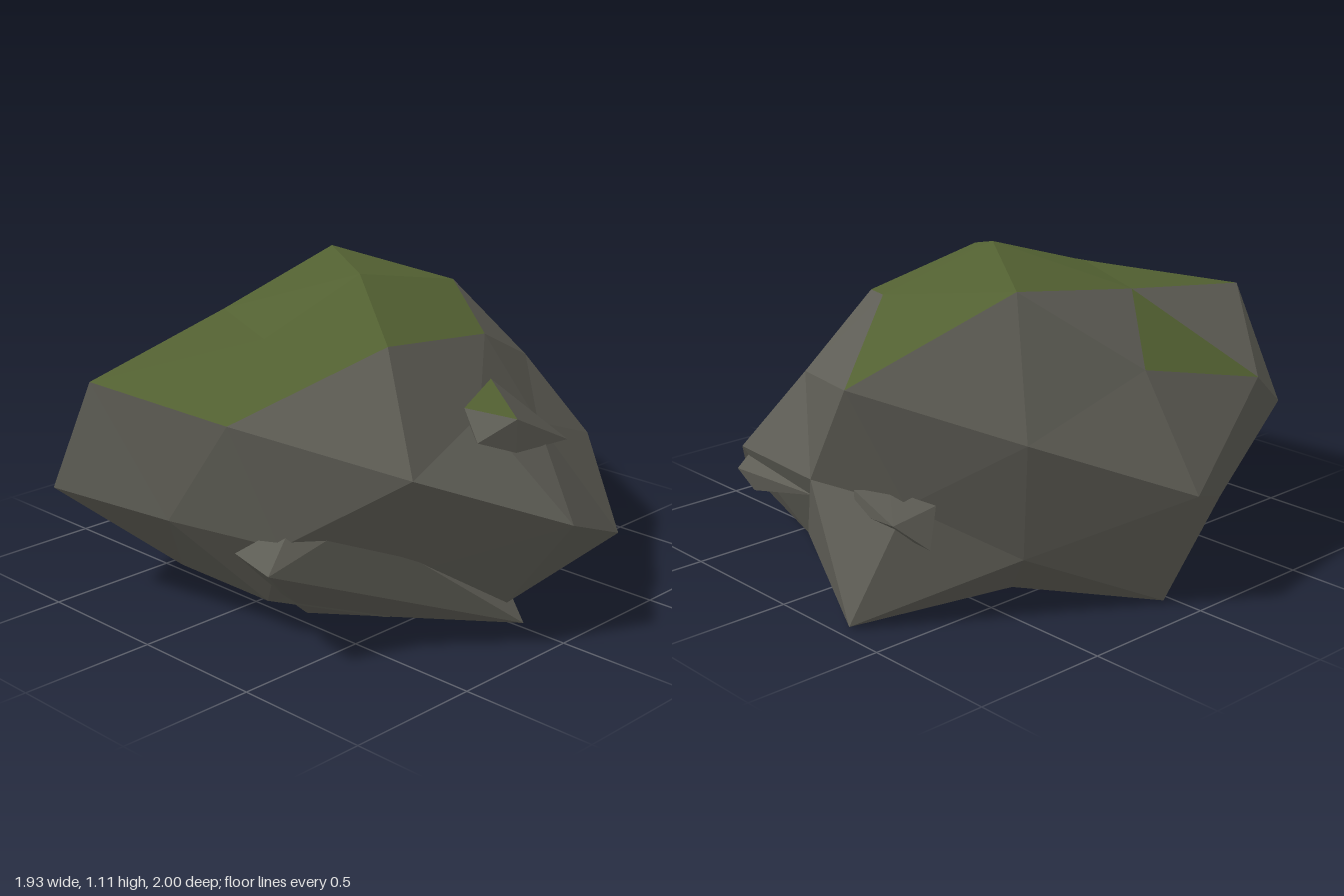
import * as THREE from 'three';
import { ConvexGeometry } from 'three/addons/geometries/ConvexGeometry.js';

const stone = new THREE.MeshStandardMaterial({ color: 0x5f5e56, flatShading: true });
stone.name = 'stone';
const moss = new THREE.MeshStandardMaterial({ color: 0x536132, flatShading: true });
moss.name = 'moss';

// Radii of the boulder corners: keyed by direction (tenths, unsigned),
// then by sign octant: +++ ++- +-+ +-- -++ -+- --+ ---
const RADII = {
  '3,8,5': [0.74, 1.0, 0.85, 0.85, 0.855, 0.82, 0.85, 0.85],
  '5,3,8': [0.66, 0.88, 0.97, 0.8, 0.955, 0.967, 0.72, 0.85],
  '8,5,3': [0.73, 0.99, 0.74, 1.0, 0.985, 1.05, 0.73, 0.73],
  '0,5,9': [0.68, 0.88, 0.85, 1.01],
  '5,9,0': [0.84, 0, 0.85, 0, 0.78, 0, 0.78, 0],
  '9,0,5': [0.83, 0.78, 0, 0, 0.84, 1.02],
  '10,0,0': [0.73, 0, 0, 0, 0.8],
  '0,10,0': [0.845, 0, 0.85],
  '0,0,10': [1, 1],
};
// Corners on the mossy crown, and the three of a lone mossy patch behind it
const CROWN = ['0,10,0:0', '5,9,0:0', '5,9,0:4', '3,8,5:0', '3,8,5:1', '3,8,5:4', '3,8,5:5',
  '8,5,3:1', '8,5,3:4', '8,5,3:5'];
const PATCH = ['5,3,8:5', '0,5,9:1', '3,8,5:5'];

// Colours each triangle of a non-indexed geometry as stone or moss
function paintFaces(geometry, isMoss) {
  geometry.clearGroups();
  for (let i = 0; i < geometry.attributes.position.count; i += 3) {
    geometry.addGroup(i, 3, isMoss(i) ? 1 : 0);
  }
}

function makeBoulder() {
  const geometry = new THREE.IcosahedronGeometry(1, 1);
  const pos = geometry.attributes.position;
  const ids = [];
  for (let i = 0; i < pos.count; i++) {
    const d = [pos.getX(i), pos.getY(i), pos.getZ(i)];
    const key = d.map((c) => Math.round(Math.abs(c) * 10)).join(',');
    const neg = d.map((c) => (c < -0.01 ? 1 : 0));
    const octant = neg[0] * 4 + neg[1] * 2 + neg[2];
    const r = RADII[key][octant];
    ids.push(`${key}:${octant}`);
    // Stretched, and cut flat at the ground
    pos.setXYZ(i, 0.03 + 1.15 * r * d[0], Math.max(0, 0.42 + 0.82 * r * d[1]), r * d[2]);
  }
  geometry.computeVertexNormals();
  paintFaces(geometry, (i) => {
    const face = ids.slice(i, i + 3);
    return [CROWN, PATCH].some((set) => face.every((id) => set.includes(id)));
  });
  const mesh = new THREE.Mesh(geometry, [stone, moss]);
  mesh.name = 'boulder';
  return mesh;
}

// Angular shard of rock, mossy only where it lies nearly level
function makeShard(name, corners) {
  const geometry = new ConvexGeometry(corners.map((c) => new THREE.Vector3(...c)));
  const normal = geometry.attributes.normal;
  paintFaces(geometry, (i) => normal.getY(i) > 0.9);
  const mesh = new THREE.Mesh(geometry, [stone, moss]);
  mesh.name = name;
  return mesh;
}

export function createModel() {
  const group = new THREE.Group();
  group.name = 'mossyRock';
  group.add(
    makeBoulder(),
    makeShard('frontShard', [
      [-0.11, 0.67, 0.69], [-0.06, 0.76, 0.585], [0.03, 0.735, 0.745], [0.19, 0.79, 0.49],
      [0.03, 0.615, 0.745], [0.56, 0.49, 0.556], [0.1, 0.6, 0.45],
    ]),
    makeShard('lowerFrontShard', [
      [-0.87, 0.35, 0.47], [-0.74, 0.5, 0.45], [-0.57, 0.475, 0.56], [-0.42, 0.29, 0.62],
      [0.03, 0, 0.8], [0.12, 0.05, 0.66], [-0.86, 0.38, 0.3], [-0.6, 0.13, 0.25],
      [-0.44, 0, 0.2], [0.1, 0, 0.5],
    ]),
    makeShard('leftFrontShard', [
      [0.87, 0.345, 0.43], [0.8, 0.3, 0.48], [0.82, 0.395, 0.42], [0.85, 0.275, 0.36],
      [0.83, 0.34, 0.045], [0.7, 0.33, 0.4],
    ]),
    makeShard('leftBackShard', [
      [0.84, 0.43, -0.2], [0.84, 0.35, -0.2], [0.81, 0.465, -0.35], [0.75, 0.44, -0.51],
      [0.76, 0.28, -0.49], [0.84, 0.36, -0.4], [0.7, 0.36, -0.35],
    ]),
  );
  return group;
}
